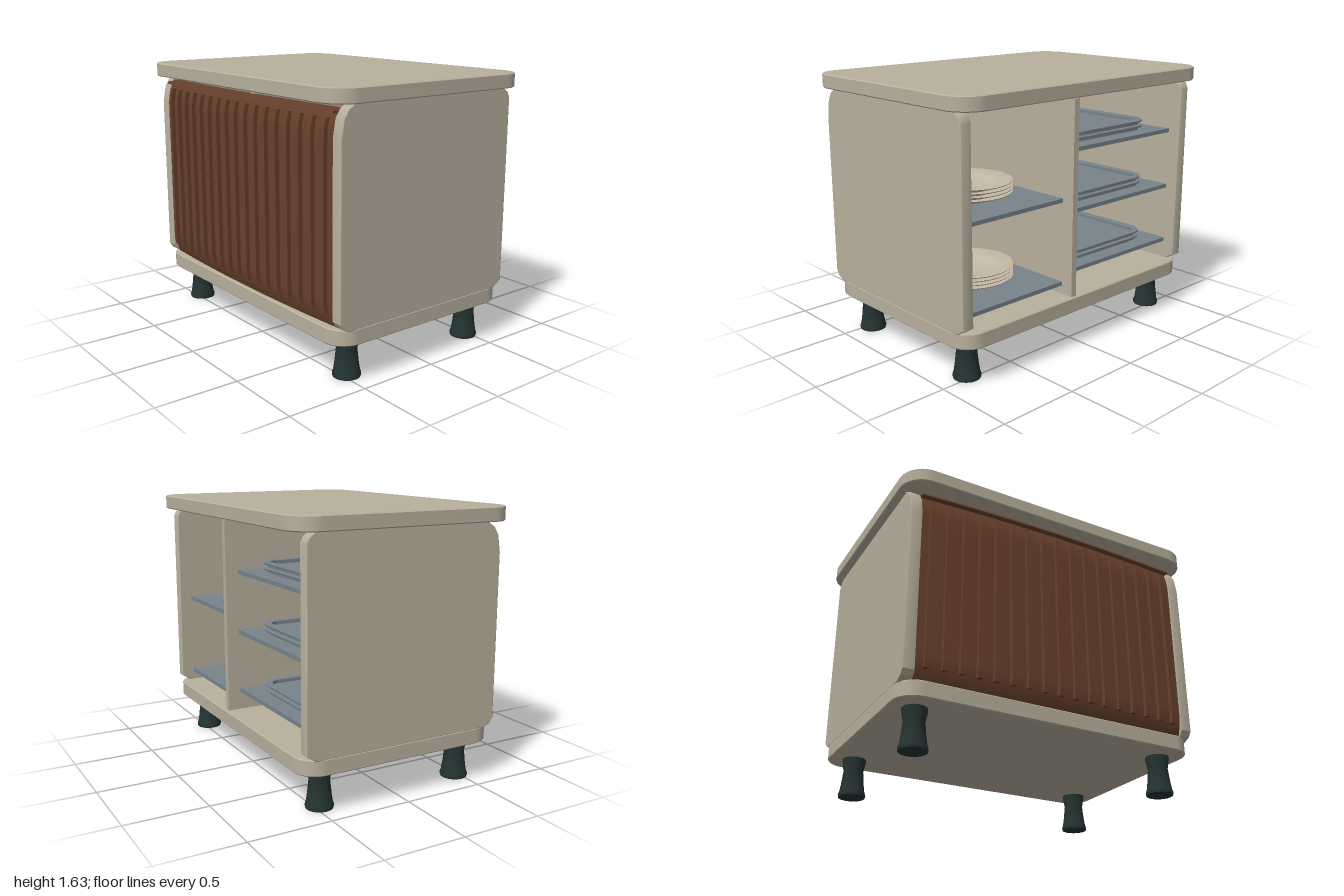
import * as THREE from 'three';
import { toCreasedNormals } from 'three/addons/utils/BufferGeometryUtils.js';

const mat = (name, color) => Object.assign(new THREE.MeshStandardMaterial({ color }), { name });

export function createModel() {
  const cream = mat('cream laminate', 0xb8b09e);
  const brown = mat('brown tambour', 0x68412c);
  const dark = mat('dark green legs', 0x243432);
  const slate = mat('slate shelves', 0x78848b);
  const china = mat('plate china', 0xc6b9a7);
  const root = new THREE.Group();
  root.name = 'servingCabinet';

  const add = (name, geo, material, x = 0, y = 0, z = 0, parent = root) => {
    const m = new THREE.Mesh(geo, material);
    m.name = name;
    m.position.set(x, y, z);
    parent.add(m);
    return m;
  };

  // Rectangle with rounded corners, centred on the origin
  const roundRect = (w, d, r, Type = THREE.Shape) => {
    const s = new Type(), a = w / 2, b = d / 2;
    s.moveTo(a, -b + r);
    s.absarc(a - r, b - r, r, 0, Math.PI / 2);
    s.absarc(-a + r, b - r, r, Math.PI / 2, Math.PI);
    s.absarc(-a + r, -b + r, r, Math.PI, Math.PI * 1.5);
    s.absarc(a - r, -b + r, r, Math.PI * 1.5, Math.PI * 2);
    return s;
  };

  // Horizontal slab standing on y = 0, with a small bevel; border > 0 leaves only a rim
  const slab = (w, d, h, r, bevel, border = 0) => {
    const s = roundRect(w - 2 * bevel, d - 2 * bevel, r);
    if (border) s.holes.push(roundRect(w - 2 * border, d - 2 * border, r * 0.7, THREE.Path));
    const g = new THREE.ExtrudeGeometry(s, {
      depth: h - 2 * bevel, bevelEnabled: bevel > 0, bevelThickness: bevel,
      bevelSize: bevel, bevelSegments: 1, curveSegments: 8,
    });
    g.translate(0, 0, bevel).rotateX(-Math.PI / 2);
    return toCreasedNormals(g, 0.5);
  };

  // Worktop and base
  add('worktop', slab(2, 1.41, 0.085, 0.15, 0.006), cream, 0, 1.55, 0);
  add('base', slab(1.91, 1.285, 0.095, 0.13, 0.006), cream, 0, 0.24, 0);

  // Legs
  const legProfile = [[0, 0], [0.08, 0], [0.083, 0.015], [0.076, 0.035], [0.069, 0.08],
    [0.06, 0.165], [0.072, 0.225], [0.072, 0.242], [0, 0.242]].map(p => new THREE.Vector2(...p));
  const legGeo = toCreasedNormals(new THREE.LatheGeometry(legProfile, 24), 0.6);
  for (const x of [-0.805, 0.805]) for (const z of [-0.47, 0.47]) add('leg', legGeo, dark, x, 0, z);

  // Side panels with clipped, softened corners (outline in z, y)
  const outline = [[0.57, 0.335], [0.61, 0.355], [0.629, 0.385], [0.629, 1.37], [0.612, 1.47],
    [0.585, 1.515], [0.54, 1.545], [-0.57, 1.545], [-0.605, 1.52], [-0.62, 1.49],
    [-0.62, 0.37], [-0.565, 0.335]].map(p => new THREE.Vector2(...p));
  const sideGeo = new THREE.ExtrudeGeometry(new THREE.Shape(outline), {
    depth: 0.056, bevelThickness: 0.008, bevelSize: 0.006, bevelSegments: 2,
  });
  sideGeo.translate(0, 0, -0.028).rotateY(-Math.PI / 2);
  const sideSmooth = toCreasedNormals(sideGeo, 0.5);
  for (const s of [-1, 1]) add(s > 0 ? 'leftPanel' : 'rightPanel', sideSmooth, cream, s * 0.917, 0, 0);

  // Central divider
  add('divider', new THREE.BoxGeometry(0.04, 1.2, 1.225), cream, 0.095, 0.93, -0.0125);

  // Tambour front: boxes bent by one rule, bowed across x and curling in at top and bottom
  const bend = (geo, x0, y0, z0) => {
    geo.translate(x0, y0, z0);
    const p = geo.attributes.position;
    for (let i = 0; i < p.count; i++) {
      const x = p.getX(i), y = p.getY(i);
      const top = Math.max(0, (y - 1.36) / 0.16), low = Math.max(0, (0.48 - y) / 0.15);
      p.setZ(i, p.getZ(i) - 0.03 * (x / 0.88) ** 2 - 0.035 * top ** 2 - 0.035 * low ** 2);
    }
    return toCreasedNormals(geo, 0.5);
  };
  const tambour = new THREE.Group();
  tambour.name = 'tambourFront';
  root.add(tambour);
  add('frontSheet', bend(new THREE.BoxGeometry(1.77, 1.19, 0.03, 32, 32, 1), 0, 0.925, 0.64), brown, 0, 0, 0, tambour);
  for (let i = 0; i < 17; i++) {
    add('rib', bend(new THREE.BoxGeometry(0.032, 1.06, 0.032, 1, 24, 1), -0.82 + i * 0.1022, 0.94, 0.664),
      brown, 0, 0, 0, tambour);
  }
  add('topLip', bend(new THREE.BoxGeometry(1.77, 0.014, 0.07, 32, 1, 1), 0, 1.503, 0.655), brown, 0, 0, 0, tambour);

  // Dish stack: four nested plates
  const plateProfile = [[0, 0], [0.16, 0], [0.18, 0.008], [0.268, 0.036], [0.272, 0.042],
    [0.265, 0.045], [0.175, 0.018], [0, 0.015]].map(p => new THREE.Vector2(...p));
  const plateGeo = toCreasedNormals(new THREE.LatheGeometry(plateProfile, 40), 0.7);
  const shelfZ = [-0.545, 0.56];
  const shelf = (xMin, xMax, y) => add('shelf',
    new THREE.BoxGeometry(xMax - xMin, 0.025, shelfZ[1] - shelfZ[0]), slate,
    (xMin + xMax) / 2, y, (shelfZ[0] + shelfZ[1]) / 2);
  for (const y of [0.4, 0.92]) {
    shelf(0.115, 0.885, y);
    for (let i = 0; i < 4; i++) add('plate', plateGeo, china, 0.5, y + 0.0125 + i * 0.022, -0.13);
  }

  // Tray shelves: two stacked rimmed trays on each
  const trayFloor = slab(0.66, 0.8, 0.01, 0.08, 0);
  const trayWall = slab(0.68, 0.82, 0.026, 0.09, 0, 0.02);
  const trayRim = slab(0.73, 0.87, 0.014, 0.11, 0.003, 0.04);
  for (const y of [0.46, 0.835, 1.21]) {
    shelf(-0.885, 0.075, y);
    for (let i = 0; i < 2; i++) {
      const tray = new THREE.Group();
      tray.name = 'tray';
      tray.position.set(-0.405, y + 0.0125 + i * 0.034, -0.03);
      root.add(tray);
      add('trayFloor', trayFloor, slate, 0, 0, 0, tray);
      add('trayWall', trayWall, slate, 0, 0, 0, tray);
      add('trayRim', trayRim, slate, 0, 0.02, 0, tray);
    }
  }
  return root;
}
